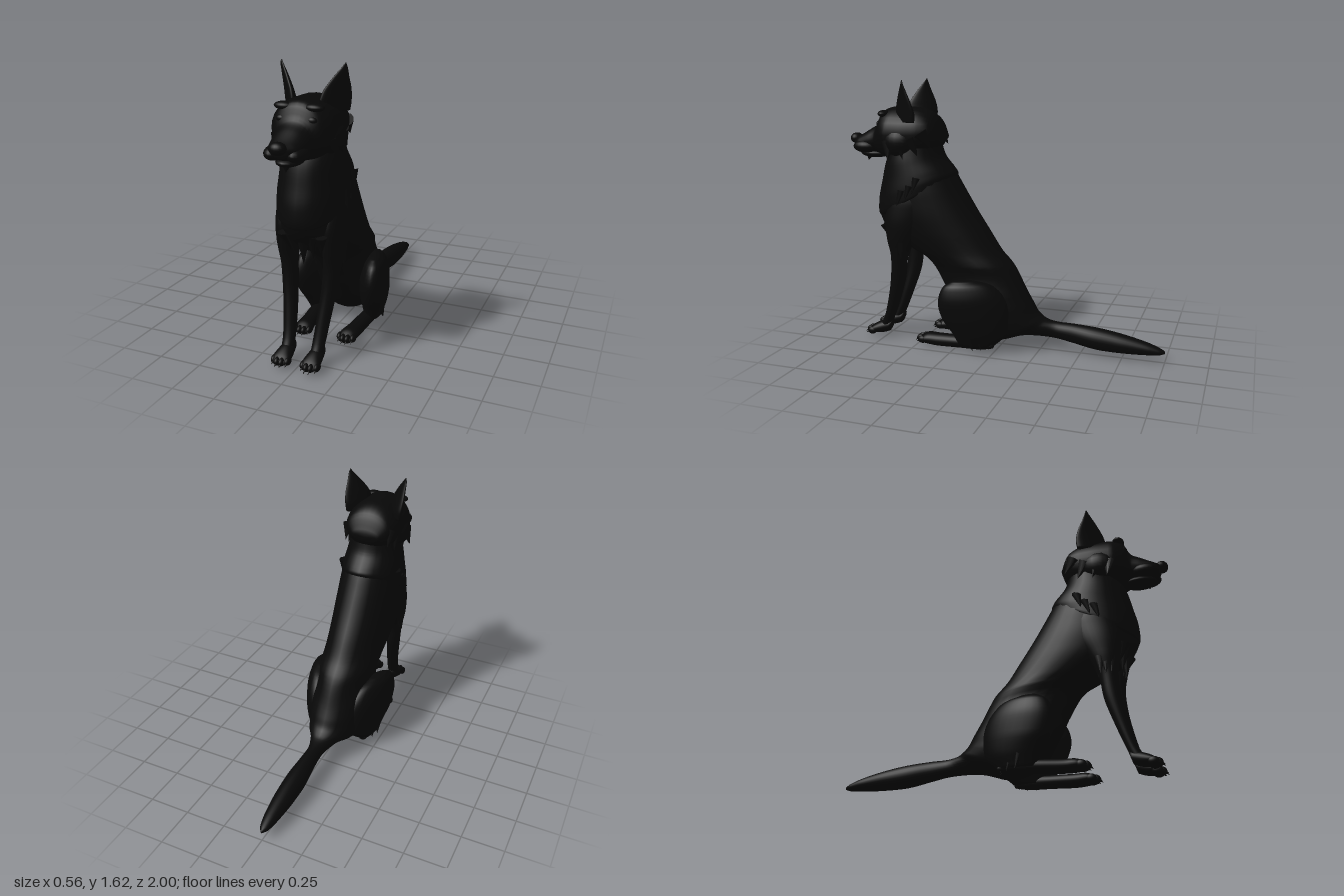
import * as THREE from 'three';

const coat = new THREE.MeshStandardMaterial({ color: 0x080808 });
coat.name = 'black coat';

const V = (x, y, z) => new THREE.Vector3(x, y, z);

// Smooth loft. Each section is [z1, y1, z2, y2, halfWidth, centreX, skew]: an ellipse between two
// side-on points; skew moves point 2 by +x and point 1 by -x.
function loft(sections, steps = 5, sides = 28) {
  const curve = f => new THREE.CatmullRomCurve3(sections.map(f));
  const first = curve(s => V(0, s[1], s[0]));
  const second = curve(s => V(0, s[3], s[2]));
  const size = curve(s => V(s[4], s[5] || 0, s[6] || 0));
  const n = (sections.length - 1) * steps;
  const pos = [], idx = [];
  for (let i = 0; i <= n; i++) {
    const a = first.getPoint(i / n), b = second.getPoint(i / n), w = size.getPoint(i / n);
    const mid = a.clone().add(b).multiplyScalar(0.5), half = b.sub(a).multiplyScalar(0.5);
    for (let j = 0; j < sides; j++) {
      const t = j / sides * Math.PI * 2, c = Math.cos(t);
      pos.push(w.y + Math.sin(t) * w.x + w.z * c, mid.y + half.y * c, mid.z + half.z * c);
      if (i < n) {
        const p = i * sides + j, q = i * sides + (j + 1) % sides;
        idx.push(p, q, p + sides, q, q + sides, p + sides);
      }
    }
  }
  // End caps
  for (const [ring, flip] of [[0, true], [n, false]]) {
    const centre = V(0, 0, 0), o = ring * sides, c = pos.length / 3;
    for (let j = 0; j < sides; j++) centre.add(V(...pos.slice((o + j) * 3, (o + j) * 3 + 3)));
    centre.divideScalar(sides);
    pos.push(centre.x, centre.y, centre.z);
    for (let j = 0; j < sides; j++) {
      const p = o + j, q = o + (j + 1) % sides;
      if (flip) idx.push(c, q, p); else idx.push(c, p, q);
    }
  }
  // Turn faces outward, judged by the enclosed volume
  let volume = 0;
  const at = i => V(pos[i * 3], pos[i * 3 + 1], pos[i * 3 + 2]);
  for (let i = 0; i < idx.length; i += 3) volume += at(idx[i]).dot(at(idx[i + 1]).cross(at(idx[i + 2])));
  if (volume < 0) idx.reverse();
  const g = new THREE.BufferGeometry();
  g.setAttribute('position', new THREE.Float32BufferAttribute(pos, 3));
  g.setIndex(idx);
  g.computeVertexNormals();
  return g;
}

export function createModel() {
  const dog = new THREE.Group();
  dog.name = 'sittingDog';
  const add = (name, geometry) => {
    const m = new THREE.Mesh(geometry, coat);
    m.name = name;
    dog.add(m);
    return m;
  };
  const ball = (name, x, y, z, rx, ry, rz) => {
    const m = add(name, new THREE.SphereGeometry(1, 20, 14));
    m.position.set(x, y, z);
    m.scale.set(rx, ry, rz);
  };
  // Pointed lock of fur from root to tip, flattened sideways
  const tuft = (name, root, tip, r, flat = 0.5) => {
    const d = tip.clone().sub(root);
    const m = add(name, new THREE.ConeGeometry(r, d.length(), 10));
    m.position.copy(root).add(tip).multiplyScalar(0.5);
    m.quaternion.setFromUnitVectors(V(0, 1, 0), d.normalize());
    m.scale.x = flat;
  };

  // Neck, torso, rump and tail in one flowing form
  add('bodyAndTail', loft([
    [0.41, 1.30, 0.68, 1.24, 0.14], [0.38, 1.18, 0.73, 1.13, 0.165], [0.30, 1.06, 0.76, 1.02, 0.18],
    [0.24, 0.96, 0.79, 0.90, 0.193], [0.16, 0.83, 0.80, 0.80, 0.197], [0.08, 0.71, 0.75, 0.70, 0.193],
    [0.0, 0.59, 0.61, 0.60, 0.183], [-0.08, 0.50, 0.48, 0.53, 0.178], [-0.165, 0.34, 0.38, 0.39, 0.178],
    [-0.20, 0.28, 0.32, 0.27, 0.18], [-0.23, 0.23, 0.22, 0.11, 0.168], [-0.26, 0.205, 0.05, 0.035, 0.135],
    [-0.29, 0.19, -0.15, 0.08, 0.08], [-0.36, 0.18, -0.34, 0.08, 0.046], [-0.45, 0.178, -0.45, 0.062, 0.05],
    [-0.60, 0.168, -0.60, 0.036, 0.062], [-0.75, 0.145, -0.75, 0.032, 0.058], [-0.90, 0.11, -0.90, 0.038, 0.042],
    [-0.97, 0.085, -0.97, 0.045, 0.026], [-1, 0.07, -1, 0.055, 0.006]]));

  // Mane over neck and shoulders
  add('mane', loft([
    [0.40, 1.25, 0.70, 1.22, 0.15], [0.37, 1.16, 0.745, 1.12, 0.172], [0.31, 1.09, 0.775, 1.0, 0.188],
    [0.29, 1.06, 0.80, 0.88, 0.198], [0.30, 1.03, 0.795, 0.78, 0.2], [0.36, 1.0, 0.74, 0.76, 0.17]]));
  for (const [x, tip] of [[0, 0.56], [-0.055, 0.59], [0.055, 0.59], [-0.1, 0.62], [0.1, 0.62]])
    tuft('chestTuft', V(x, 0.74, 0.71), V(x * 0.9, tip, 0.71 - Math.abs(x) * 0.3), 0.05, 0.8);

  // Skull and muzzle
  add('head', loft([
    [0.368, 1.30, 0.375, 1.25, 0.08], [0.43, 1.41, 0.40, 1.21, 0.14], [0.50, 1.448, 0.48, 1.15, 0.17],
    [0.60, 1.455, 0.60, 1.13, 0.18], [0.68, 1.455, 0.70, 1.13, 0.176], [0.745, 1.435, 0.75, 1.145, 0.145],
    [0.79, 1.355, 0.79, 1.16, 0.108], [0.85, 1.317, 0.84, 1.168, 0.1], [0.92, 1.277, 0.91, 1.18, 0.085],
    [0.96, 1.262, 0.945, 1.2, 0.045]]));
  ball('nose', 0, 1.253, 0.962, 0.046, 0.034, 0.038);
  ball('lowerJaw', 0, 1.165, 0.83, 0.068, 0.028, 0.1);
  tuft('chinTuft', V(0, 1.17, 0.87), V(0, 1.115, 0.885), 0.035, 1);

  for (const s of [-1, 1]) {
    // Face details
    ball('lip', s * 0.063, 1.21, 0.87, 0.052, 0.04, 0.08);
    ball('brow', s * 0.085, 1.415, 0.725, 0.055, 0.022, 0.035);
    ball('eye', s * 0.085, 1.355, 0.755, 0.03, 0.02, 0.02);
    ball('cheek', s * 0.12, 1.25, 0.61, 0.078, 0.09, 0.105);
    for (const [y, z, ty, tz] of [[1.25, 0.67, 1.145, 0.66], [1.25, 0.60, 1.15, 0.57], [1.27, 0.53, 1.17, 0.48], [1.31, 0.46, 1.22, 0.40]])
      tuft('cheekTuft', V(s * 0.15, y, z), V(s * (0.19 - (0.66 - tz) * 0.2), ty, tz), 0.045, 0.7);

    // Upright ear, a thin blade turned forward and outward
    add('ear', loft([
      [0.49, 1.37, 0.65, 1.37, 0.035, s * 0.12, -s * 0.05], [0.485, 1.42, 0.65, 1.42, 0.034, s * 0.126, -s * 0.05],
      [0.50, 1.48, 0.635, 1.48, 0.027, s * 0.138, -s * 0.046], [0.53, 1.55, 0.60, 1.55, 0.017, s * 0.159, -s * 0.026],
      [0.55, 1.60, 0.57, 1.60, 0.008, s * 0.177, -s * 0.009], [0.555, 1.62, 0.56, 1.62, 0.003, s * 0.181, 0]]));

    // Side locks at the mane's lower edge
    for (const [z, y] of [[0.60, 0.87], [0.55, 0.9], [0.50, 0.95]])
      tuft('maneTuft', V(s * 0.175, y + 0.09, z - 0.015), V(s * 0.208, y, z), 0.045);

    // Foreleg from shoulder to wrist
    add('frontLeg', loft([
      [0.44, 0.98, 0.62, 0.98, 0.03, s * 0.15], [0.42, 0.88, 0.68, 0.88, 0.06, s * 0.14],
      [0.45, 0.76, 0.71, 0.76, 0.068, s * 0.137], [0.52, 0.65, 0.70, 0.65, 0.06, s * 0.135],
      [0.57, 0.55, 0.682, 0.55, 0.048, s * 0.127], [0.592, 0.41, 0.69, 0.41, 0.043, s * 0.117],
      [0.645, 0.25, 0.722, 0.25, 0.039, s * 0.1], [0.695, 0.12, 0.757, 0.13, 0.036, s * 0.09],
      [0.73, 0.04, 0.79, 0.07, 0.035, s * 0.087]]));
    for (const [x, z] of [[0.18, 0.62], [0.185, 0.59], [0.17, 0.65], [0.115, 0.57], [0.1, 0.61]])
      tuft('elbowTuft', V(s * (x * 0.7 + 0.04), 0.64, z), V(s * x, 0.535, z), 0.035, 0.7);
    add('frontPaw', loft([
      [0.70, 0.11, 0.725, 0.035, 0.034, s * 0.088], [0.78, 0.095, 0.77, 0.02, 0.046, s * 0.087],
      [0.83, 0.072, 0.83, 0.016, 0.053, s * 0.087], [0.865, 0.045, 0.865, 0.018, 0.035, s * 0.087]]));

    // Haunch flaring out toward the knee, and long hind foot turned inward
    add('haunch', loft([
      [0.12, 0.445, 0.24, 0.44, 0.025, s * 0.2, s * 0.015], [0.01, 0.415, 0.30, 0.40, 0.065, s * 0.19, s * 0.035],
      [-0.07, 0.33, 0.33, 0.30, 0.092, s * 0.178, s * 0.045], [-0.10, 0.22, 0.305, 0.20, 0.092, s * 0.17, s * 0.045],
      [-0.08, 0.12, 0.25, 0.11, 0.076, s * 0.165, s * 0.03], [0.0, 0.04, 0.22, 0.04, 0.05, s * 0.17, s * 0.01]]));
    add('hindFoot', loft([
      [0.0, 0.06, 0.0, 0.03, 0.02, s * 0.17], [0.08, 0.09, 0.08, 0.015, 0.04, s * 0.168],
      [0.22, 0.085, 0.22, 0.008, 0.045, s * 0.158], [0.36, 0.078, 0.38, 0, 0.048, s * 0.146],
      [0.44, 0.074, 0.44, 0.005, 0.054, s * 0.14], [0.49, 0.045, 0.49, 0.012, 0.038, s * 0.137]]));
    for (const [x, z] of [[0.15, 0.01], [0.185, 0.02], [0.215, 0.06], [0.23, 0.11]])
      tuft('heelTuft', V(s * (x - 0.01), 0.11, z + 0.03), V(s * x, 0.02, z), 0.03, 0.8);

    // Toes and claws
    for (const [cx, z] of [[0.087, 0.85], [0.138, 0.478]])
      for (let i = 0; i < 4; i++) {
        const x = s * (cx + (i - 1.5) * 0.027), tz = z - (i === 0 || i === 3 ? 0.018 : 0);
        ball('toe', x, 0.037, tz, 0.017, 0.023, 0.03);
        tuft('claw', V(x, 0.035, tz + 0.015), V(x, 0.018, tz + 0.042), 0.009, 1);
      }
  }
  return dog;
}
